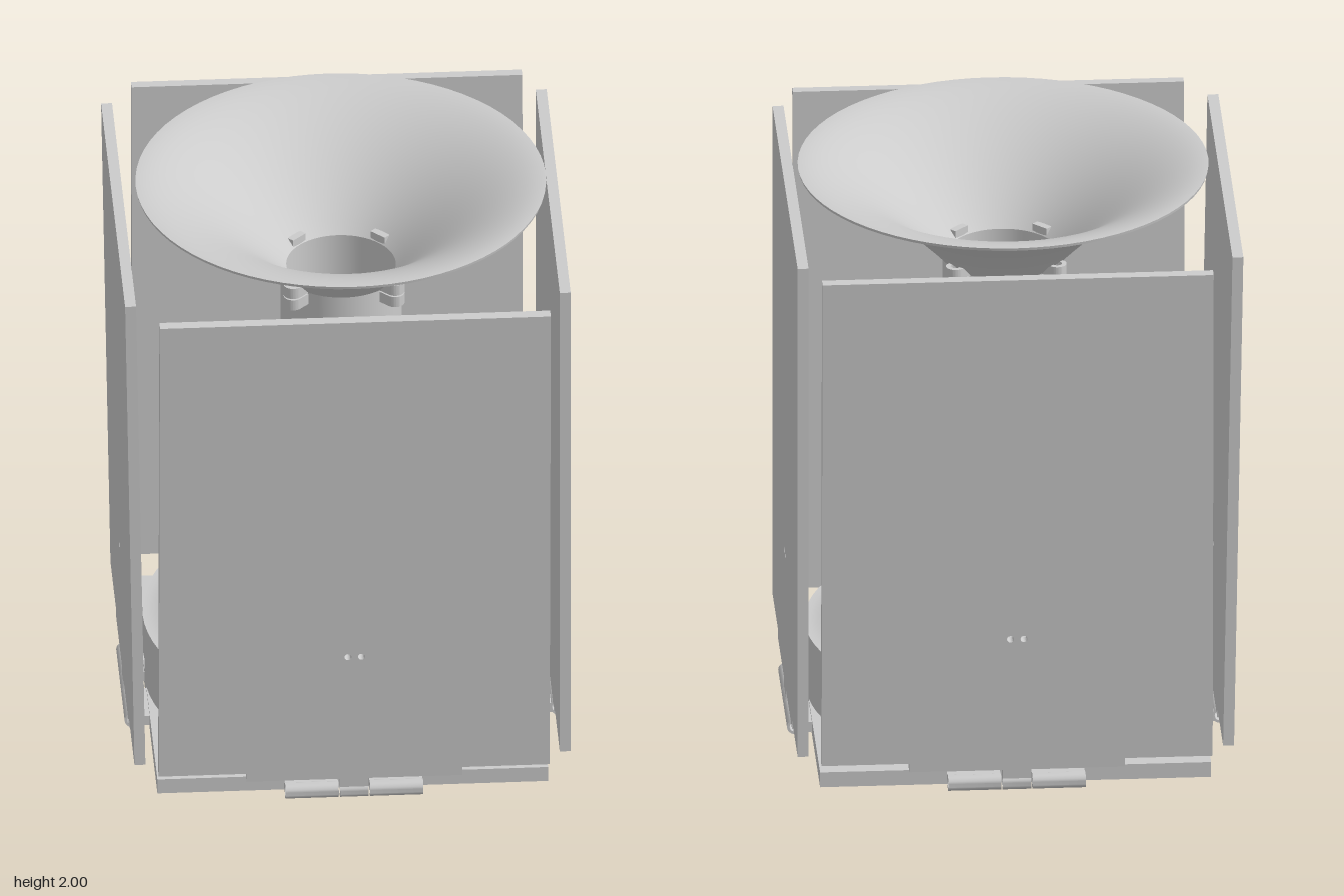
import * as THREE from 'three';
import { toCreasedNormals } from 'three/addons/utils/BufferGeometryUtils.js';

const material = new THREE.MeshStandardMaterial({ color: 0xcccccc });
const PANEL_W = 1.325, THICK = 0.037, HINGE_R = 0.72, HINGE_Y = 0.03;

function add(parent, name, geometry, x = 0, y = 0, z = 0) {
  const mesh = new THREE.Mesh(geometry, material);
  mesh.name = name;
  mesh.position.set(x, y, z);
  parent.add(mesh);
  return mesh;
}

function lathe(points) {
  const pts = points.map(([r, y]) => new THREE.Vector2(r, y));
  pts.push(pts[0].clone());
  return toCreasedNormals(new THREE.LatheGeometry(pts, 72), 0.5);
}

function circleHole(x, y, r) {
  return new THREE.Path().absarc(x, y, r, 0, Math.PI * 2, true);
}

// Trumpet flare from r0 at y0 out to r1 at y1
function flare(r0, y0, r1, y1, steps = 16) {
  return Array.from({ length: steps + 1 }, (_, i) => {
    const t = i / steps;
    return [r0 + (r1 - r0) * t, y0 + (y1 - y0) * (1 - Math.pow(1 - t, 1.63))];
  });
}

// Square foot plate with a round opening
function basePlate() {
  const h = PANEL_W / 2;
  const s = new THREE.Shape([[-h, -h], [h, -h], [h, h], [-h, h]].map(p => new THREE.Vector2(...p)));
  s.holes.push(circleHole(0, 0, 0.62));
  const g = new THREE.ExtrudeGeometry(s, { depth: 0.055, bevelEnabled: false, curveSegments: 36 });
  return toCreasedNormals(g.rotateX(-Math.PI / 2), 0.5);
}

// Wall panel with stepped lower edge and two small holes, y measured from the hinge axis
function panelGeometry() {
  const h = PANEL_W / 2;
  const half = [[h, 1.9], [h, 0.085], [0.365, 0.085], [0.365, 0.053], [0.048, 0.053], [0.048, 0.012]];
  const outline = [...half.map(([x, y]) => [-x, y]), ...half.slice().reverse()];
  const s = new THREE.Shape(outline.map(p => new THREE.Vector2(...p)));
  for (const x of [-0.023, 0.023]) s.holes.push(circleHole(x, 0.545, 0.012));
  return new THREE.ExtrudeGeometry(s, { depth: THICK, bevelEnabled: false })
    .translate(0, 0, -THICK / 2);
}

// Hollow hinge knuckle lying along x
function knuckle(length) {
  const s = new THREE.Shape().absarc(0, 0, 0.027, 0, Math.PI * 2);
  s.holes.push(circleHole(0, 0, 0.018));
  const g = new THREE.ExtrudeGeometry(s, { depth: length, bevelEnabled: false, curveSegments: 12 });
  return toCreasedNormals(g.translate(0, 0, -length / 2).rotateY(Math.PI / 2), 0.6);
}

// Flat rounded lug with a screw hole, pointing along +x
function lugGeometry() {
  const s = new THREE.Shape();
  s.moveTo(-0.045, -0.032);
  s.lineTo(0.012, -0.032);
  s.absarc(0.012, 0, 0.032, -Math.PI / 2, Math.PI / 2);
  s.lineTo(-0.045, 0.032);
  s.holes.push(circleHole(0.012, 0, 0.016));
  const g = new THREE.ExtrudeGeometry(s, { depth: 0.04, bevelEnabled: false });
  return toCreasedNormals(g.rotateX(-Math.PI / 2), 0.6);
}

export function createModel() {
  const root = new THREE.Group();
  root.name = 'hingedFunnelBox';
  const model = new THREE.Group();
  model.name = 'assembly';
  model.position.set(0.011, 0, -0.007);
  root.add(model);

  add(model, 'basePlate', basePlate());

  // Collar standing on the base
  add(model, 'baseCollar', lathe([[0.665, 0.05], [0.665, 0.163], [0.62, 0.163], [0.62, 0.05]]));

  // Lower bell, central tube and upper funnel as one hollow body
  add(model, 'funnelBody', lathe([
    [0.672, 0.168], [0.672, 0.305],
    ...flare(0.205, 0.68, 0.65, 0.305).reverse(),
    ...flare(0.205, 1.66, 0.693, 1.99),
    [0.695, 2],
    ...flare(0.185, 1.67, 0.69, 2).reverse(),
    [0.185, 0.7], [0.105, 0.7], [0.105, 0.66],
    ...flare(0.185, 0.66, 0.62, 0.285),
    [0.62, 0.168],
  ]));

  // Joining lugs on the collar and at the funnel neck
  const lug = lugGeometry();
  for (let i = 0; i < 4; i++) {
    const a = Math.PI / 4 + i * Math.PI / 2;
    for (const [name, r, y] of [['collarLug', 0.698, 0.265], ['collarLug', 0.698, 0.1],
      ['neckLug', 0.232, 1.66], ['neckLug', 0.232, 1.615]]) {
      add(model, name, lug, Math.cos(a) * r, y, -Math.sin(a) * r).rotation.y = a;
    }
  }

  // Four hinged walls, each leaning out by its own angle
  const panel = panelGeometry();
  const sides = [['front', 0, 2.15], ['left', 1, 0], ['back', 2, 1.8], ['right', 3, 1]];
  for (const [side, turn, lean] of sides) {
    const wall = new THREE.Group();
    wall.name = side + 'Wall';
    wall.rotation.y = turn * Math.PI / 2;
    model.add(wall);

    for (const sx of [-1, 1]) {
      add(wall, 'hingeLeaf', new THREE.BoxGeometry(0.18, 0.036, 0.05), sx * 0.143, 0.028, 0.677);
      add(wall, 'fixedKnuckle', knuckle(0.18), sx * 0.143, HINGE_Y, HINGE_R);
    }
    const door = new THREE.Group();
    door.name = side + 'Door';
    door.position.set(0, HINGE_Y, HINGE_R);
    door.rotation.x = THREE.MathUtils.degToRad(lean);
    wall.add(door);
    add(door, 'panel', panel);
    add(door, 'movingKnuckle', knuckle(0.096));
  }
  return root;
}
